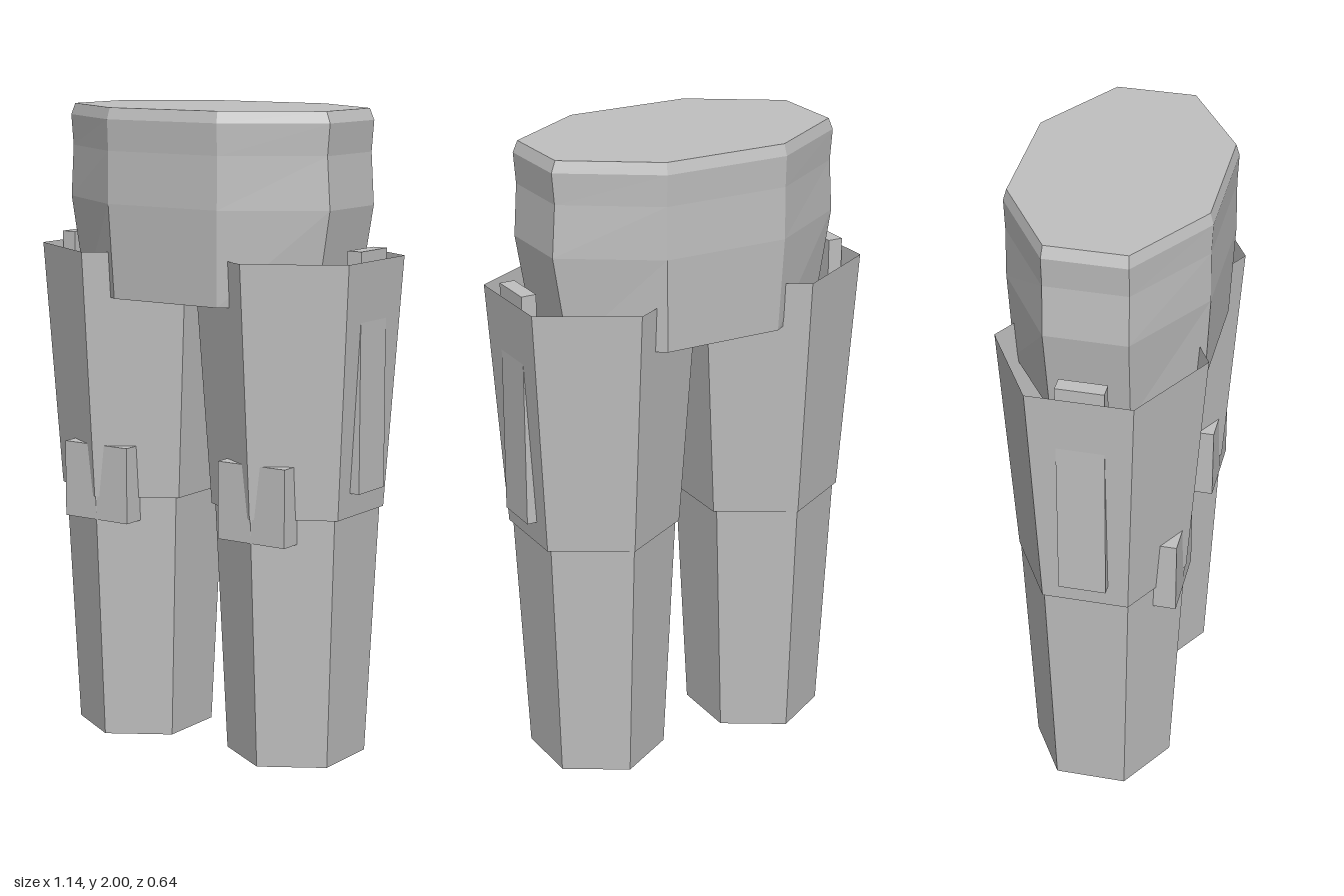
import * as THREE from 'three';

const grey = new THREE.MeshStandardMaterial({ color: 0xc0c0c0, flatShading: true });
grey.name = 'light grey';
const shellGrey = grey;
shellGrey.side = THREE.DoubleSide; // the thigh shells are open

function add(parent, name, geometry, x = 0, y = 0, z = 0) {
  const mesh = new THREE.Mesh(geometry, grey);
  mesh.name = name;
  mesh.position.set(x, y, z);
  parent.add(mesh);
  return mesh;
}

// Eight-sided ring: half width, half depth, corner positions
const ring = ([y, w, d, cx, cz]) => [
  [-cx, d], [cx, d], [w, cz], [w, -cz], [cx, -d], [-cx, -d], [-w, -cz], [-w, cz],
].map(([x, z]) => [x, y, z]);

// Closed faceted body through a stack of rings, lowest first
function loft(sections) {
  const rings = sections.map(ring);
  const pos = [];
  const tri = (...pts) => pts.forEach((p) => pos.push(...p));
  for (let k = 0; k < rings.length - 1; k++) {
    for (let i = 0; i < 8; i++) {
      const j = (i + 1) % 8;
      const [a, b, c, d] = [rings[k][i], rings[k][j], rings[k + 1][j], rings[k + 1][i]];
      tri(a, b, c);
      tri(a, c, d);
    }
  }
  const low = rings[0];
  const top = rings[rings.length - 1];
  for (let i = 1; i < 7; i++) {
    tri(low[0], low[i + 1], low[i]);
    tri(top[0], top[i], top[i + 1]);
  }
  const g = new THREE.BufferGeometry();
  g.setAttribute('position', new THREE.Float32BufferAttribute(pos, 3));
  g.computeVertexNormals();
  return g;
}

// Six-sided tapered limb with a ridge at front and back
function limb(rTop, rBottom, yBottom, yTop, depth, open) {
  const g = new THREE.CylinderGeometry(rTop, rBottom, yTop - yBottom, 6, 1, open);
  g.scale(1, 1, depth);
  g.translate(0, (yTop + yBottom) / 2, 0);
  return g;
}

export function createModel() {
  const model = new THREE.Group();
  model.name = 'trousers';

  // Hips with a bevelled waistband on top
  add(model, 'hips', loft([
    [1.42, 0.432, 0.29, 0.19, 0.12],
    [1.71, 0.48, 0.304, 0.2, 0.125],
    [1.87, 0.47, 0.302, 0.2, 0.125],
    [1.965, 0.478, 0.306, 0.2, 0.125],
    [2.0, 0.464, 0.296, 0.197, 0.122],
  ]));

  for (const side of [1, -1]) {
    const leg = new THREE.Group();
    leg.name = side > 0 ? 'leftLeg' : 'rightLeg';
    leg.position.x = side * 0.292;
    model.add(leg);
    add(leg, 'thigh', limb(0.32, 0.265, 0.785, 1.56, 1, true));
    add(leg, 'shin', limb(0.251, 0.213, 0, 0.79, 1.04, false));
    // Flat plate on the outer thigh, and pad set into the knee
    add(leg, 'hipPlate', new THREE.BoxGeometry(0.048, 0.73, 0.145), side * 0.242, 1.225, 0);
    add(leg, 'kneePad', new THREE.BoxGeometry(0.24, 0.24, 0.07), 0, 0.83, 0.223);
  }
  return model;
}
